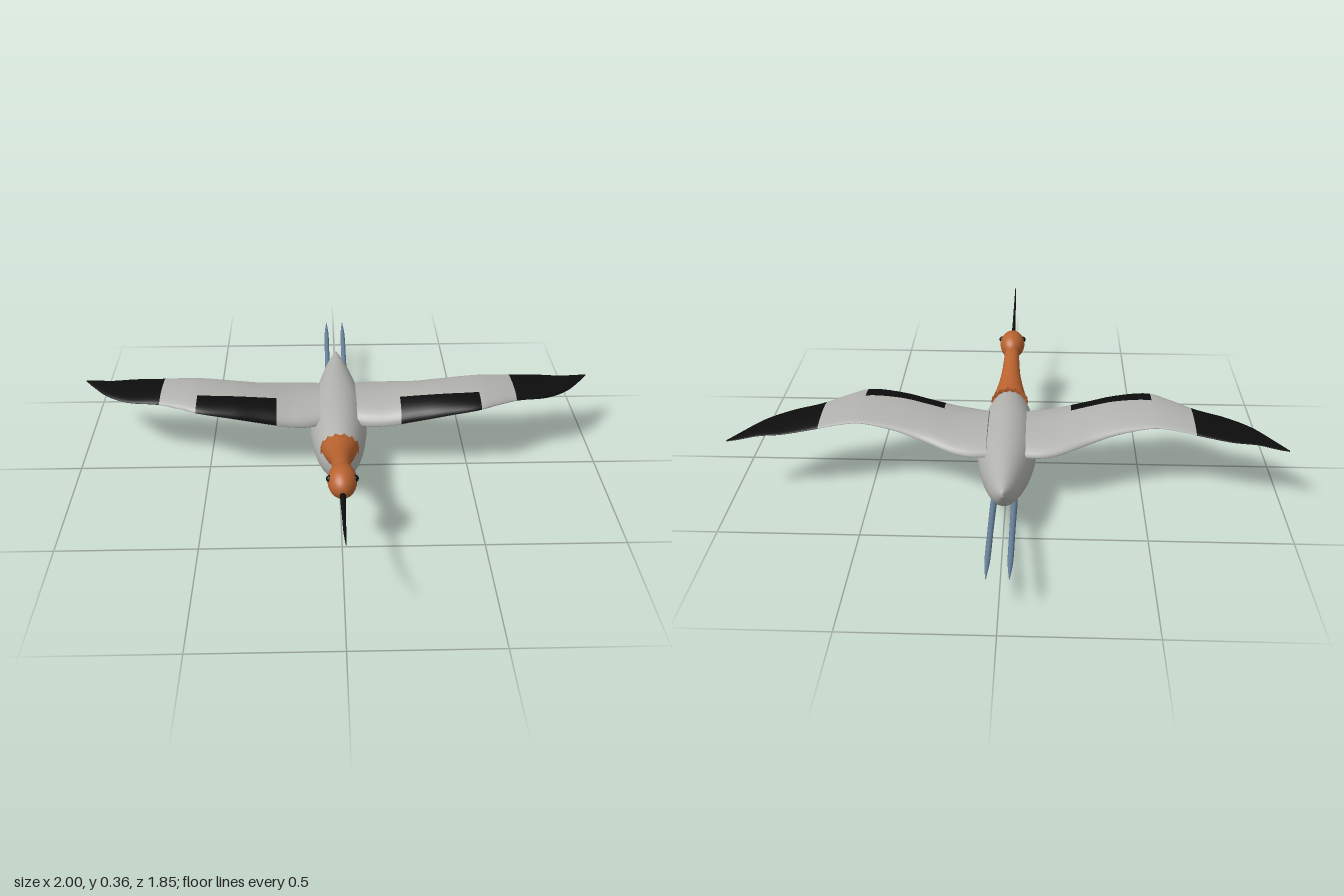
import * as THREE from 'three';

const mat = (name, color, side = THREE.FrontSide) => {
  const m = new THREE.MeshStandardMaterial({ color, side });
  m.name = name;
  return m;
};

// Smooth interpolation through rows of numbers, column by column
function sampleRows(rows, count) {
  const columns = rows[0].map((_, c) => new THREE.SplineCurve(rows.map(r => new THREE.Vector2(r[c], 0))));
  return Array.from({ length: count + 1 }, (_, i) => columns.map(s => s.getPoint(i / count).x));
}

// Skin closed rings of points; paint(i, j) picks the material of each facet
function loft(rings, paint = () => 0, flip = false) {
  const n = rings[0].length, pos = rings.flat(2), faces = [];
  const tri = (k, a, b, c) => (faces[k] ??= []).push(...(flip ? [a, c, b] : [a, b, c]));
  for (let i = 0; i < rings.length - 1; i++) for (let j = 0; j < n; j++) {
    const a = i * n + j, d = i * n + (j + 1) % n, k = paint(i, j);
    tri(k, a, a + n, d + n);
    tri(k, a, d + n, d);
  }
  // end caps with their own vertices so the rim stays crisp
  [[rings[0], false, 0], [rings.at(-1), true, rings.length - 2]].forEach(([ring, end, row]) => {
    const start = pos.length / 3;
    pos.push(...ring.flat());
    for (let c = 0; c < 3; c++) pos.push(ring.reduce((s, p) => s + p[c], 0) / n);
    for (let j = 0; j < n; j++) {
      const a = start + j, b = start + (j + 1) % n, k = paint(row, j);
      if (end) tri(k, a, start + n, b); else tri(k, a, b, start + n);
    }
  });
  const g = new THREE.BufferGeometry();
  g.setAttribute('position', new THREE.Float32BufferAttribute(pos, 3));
  g.setIndex(faces.flat());
  let from = 0;
  faces.forEach((f, k) => { g.addGroup(from, f.length, k); from += f.length; });
  g.computeVertexNormals();
  return g;
}

// Oval rings from front to back; rows are [z, bottom, top, halfWidth]
function ovalLoft(rows, { x = 0, sides = 28, steps = 32, jag = 0 } = {}) {
  const rings = sampleRows(rows, steps).map(([z, lo, hi, w], i) =>
    Array.from({ length: sides }, (_, j) => {
      const a = j / sides * Math.PI * 2;
      const dz = i === steps && j % 2 ? jag : 0;
      return [x + Math.cos(a) * w, (lo + hi) / 2 + Math.sin(a) * (hi - lo) / 2, z + dz];
    }));
  return loft(rings);
}

// Wing stations: [x, leading z, trailing z, y, height above, depth below]
const WING = [
  [0.07, 0.015, -0.285, 0.195, 0.060, 0.022],
  [0.13, 0.030, -0.288, 0.196, 0.062, 0.020],
  [0.20, 0.038, -0.275, 0.205, 0.060, 0.018],
  [0.30, 0.046, -0.238, 0.228, 0.055, 0.016],
  [0.40, 0.057, -0.215, 0.255, 0.043, 0.014],
  [0.52, 0.055, -0.205, 0.277, 0.027, 0.010],
  [0.60, 0.015, -0.213, 0.275, 0.022, 0.008],
  [0.69, -0.035, -0.230, 0.264, 0.018, 0.006],
  [0.80, -0.070, -0.250, 0.252, 0.013, 0.005],
  [0.89, -0.130, -0.253, 0.245, 0.009, 0.004],
  [0.96, -0.215, -0.270, 0.238, 0.005, 0.003],
  [1.00, -0.270, -0.277, 0.235, 0.002, 0.001],
];

function wingGeometry(side) {
  const sides = 40, stations = sampleRows(WING, 88);
  const rings = stations.map(([x, lead, trail, y, up, down]) =>
    Array.from({ length: sides }, (_, j) => {
      const a = j / sides * Math.PI * 2, u = (1 - Math.cos(a)) / 2, s = Math.sin(a);
      return [side * x, y + s * (s > 0 ? up : down) * 1.15 * (1 - 0.35 * u), lead + (trail - lead) * u];
    }));
  // dark wingtip and a dark bar behind the upper leading edge
  const paint = (i, j) => {
    const x = (stations[i][0] + stations[i + 1][0]) / 2;
    const tip = x > 0.68 && j < 32;
    const bar = x > 0.23 && x < 0.535 && j < 8;
    return tip || bar ? 1 : 0;
  };
  return loft(rings, paint, side < 0);
}

export function createModel() {
  const grey = mat('plumage grey', 0xb2b2af);
  const orange = mat('head orange', 0xb8622f);
  const black = mat('black', 0x0d0d0d);
  const blue = mat('leg blue grey', 0x667f98);
  const bird = new THREE.Group();
  bird.name = 'flyingWader';
  const add = (name, geometry, material) => {
    const m = new THREE.Mesh(geometry, material);
    m.name = name;
    bird.add(m);
    return m;
  };

  // Body with pointed tail
  add('body', ovalLoft([
    [0.222, 0.105, 0.170, 0.015], [0.19, 0.066, 0.215, 0.058], [0.12, 0.034, 0.236, 0.085],
    [0.0, 0.008, 0.250, 0.105], [-0.1, 0.0, 0.250, 0.110], [-0.2, 0.010, 0.247, 0.105],
    [-0.3, 0.031, 0.239, 0.088], [-0.4, 0.070, 0.228, 0.063], [-0.48, 0.122, 0.220, 0.038],
    [-0.542, 0.195, 0.212, 0.004],
  ], { steps: 45 }), [grey]);

  // Neck with a ragged plumage edge, and head
  add('neck', ovalLoft([
    [0.46, 0.248, 0.296, 0.026], [0.40, 0.235, 0.290, 0.030], [0.30, 0.190, 0.268, 0.038],
    [0.22, 0.146, 0.250, 0.054], [0.145, 0.122, 0.243, 0.072],
  ], { jag: 0.028, steps: 14 }), [orange]);
  const head = add('head', new THREE.SphereGeometry(1, 28, 20), orange);
  head.scale.set(0.05, 0.054, 0.073);
  head.position.set(0, 0.277, 0.49);

  // Slender upturned bill
  add('bill', ovalLoft([
    [0.925, 0.354, 0.356, 0.001], [0.86, 0.323, 0.329, 0.003], [0.78, 0.291, 0.301, 0.005],
    [0.70, 0.270, 0.284, 0.006], [0.62, 0.258, 0.277, 0.008], [0.53, 0.255, 0.281, 0.011],
  ], { sides: 12 }), [black]);

  for (const [label, side] of [['left', 1], ['right', -1]]) {
    const eye = add(label + 'Eye', new THREE.SphereGeometry(0.012, 14, 10), black);
    eye.position.set(side * 0.043, 0.294, 0.502);

    add(label + 'Wing', wingGeometry(side), [grey, black]);

    // Trailing leg, tapered at both ends
    add(label + 'Leg', ovalLoft([
      [-0.34, 0.075, 0.079, 0.002], [-0.40, 0.076, 0.099, 0.011], [-0.50, 0.095, 0.118, 0.011],
      [-0.65, 0.118, 0.138, 0.010], [-0.82, 0.138, 0.155, 0.009], [-0.925, 0.154, 0.157, 0.001],
    ], { x: side * 0.036, sides: 12 }), [blue]);
  }
  return bird;
}
